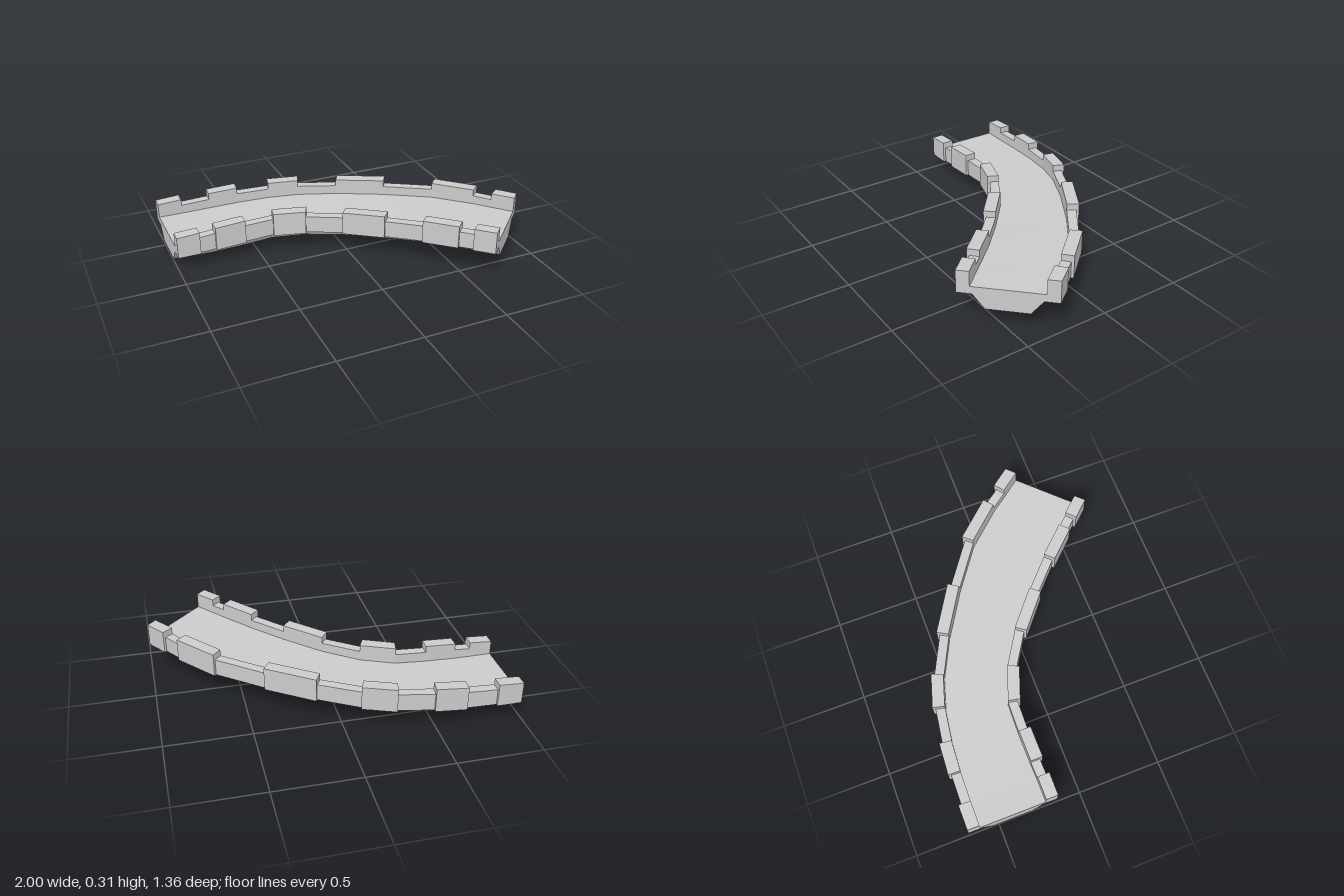
import * as THREE from 'three';

// Road edges (x, z) at matching stations, and heights along the climb
const OUTER = [[-1, -0.61], [-0.855, -0.61], [-0.68, -0.607], [-0.5, -0.595], [-0.3, -0.565], [-0.12, -0.51],
  [0.1, -0.4], [0.36, -0.24], [0.61, -0.06], [0.79, 0.14], [0.86, 0.235], [0.948, 0.349]];
const INNER = [[-1, -0.215], [-0.865, -0.215], [-0.77, -0.218], [-0.585, -0.22], [-0.4, -0.215], [-0.2, -0.145],
  [0, -0.02], [0.2, 0.15], [0.37, 0.31], [0.52, 0.47], [0.58, 0.535], [0.667, 0.63]];
const BOTTOM = [0.012, 0.004, 0, 0.006, 0.022, 0.035, 0.048, 0.062, 0.075, 0.085, 0.09, 0.095];
const SHELF = [0.095, 0.094, 0.096, 0.103, 0.112, 0.122, 0.135, 0.148, 0.16, 0.17, 0.175, 0.18];
const TOP = [0.225, 0.233, 0.24, 0.249, 0.256, 0.265, 0.275, 0.288, 0.3, 0.308, 0.311, 0.315];
const ROAD = 0.045, N = OUTER.length;

const material = new THREE.MeshStandardMaterial({ color: 0xcccccc, flatShading: true });

// Joins convex cross-section loops and caps both ends
function loft(name, sections) {
  const pos = [], n = sections[0].length;
  const tri = (...pts) => pts.forEach((p) => pos.push(...p));
  for (let k = 0; k < sections.length - 1; k++) {
    for (let j = 0; j < n; j++) {
      const a = sections[k][j], b = sections[k][(j + 1) % n];
      const c = sections[k + 1][(j + 1) % n], d = sections[k + 1][j];
      tri(a, b, c);
      tri(a, c, d);
    }
  }
  const first = sections[0], last = sections[sections.length - 1];
  for (let j = 1; j < n - 1; j++) {
    tri(first[0], first[j + 1], first[j]);
    tri(last[0], last[j], last[j + 1]);
  }
  const geometry = new THREE.BufferGeometry();
  geometry.setAttribute('position', new THREE.Float32BufferAttribute(pos, 3));
  geometry.computeVertexNormals();
  const mesh = new THREE.Mesh(geometry, material);
  mesh.name = name;
  return mesh;
}

// Outward direction of a road edge at station i; the ends follow the cut
function outward(edge, other, i) {
  let x, z;
  if (i === 0 || i === N - 1) {
    x = edge[i][0] - other[i][0];
    z = edge[i][1] - other[i][1];
  } else {
    const s = edge === OUTER ? 1 : -1;
    x = s * (edge[i + 1][1] - edge[i - 1][1]);
    z = -s * (edge[i + 1][0] - edge[i - 1][0]);
  }
  const l = Math.hypot(x, z);
  return [x / l, z / l];
}

// Parapet of alternating tall, thick merlons and low, thinner gaps
function parapet(name, edge, other) {
  const group = new THREE.Group();
  group.name = name;
  for (let k = 0; k < N - 1; k++) {
    const merlon = k % 2 === 0;
    const thick = merlon ? 0.072 : 0.056;
    const section = (i) => {
      const [x, z] = edge[i], [nx, nz] = outward(edge, other, i);
      const ox = x + nx * thick, oz = z + nz * thick;
      const top = TOP[i] - (merlon ? 0 : 0.04);
      return edge === OUTER
        ? [[ox, top, oz], [x, top, z], [x, SHELF[i], z], [ox, SHELF[i], oz]]
        : [[x, top, z], [ox, top, oz], [ox, SHELF[i], oz], [x, SHELF[i], z]];
    };
    group.add(loft(merlon ? 'merlon' : 'lowWall', [section(k), section(k + 1)]));
  }
  return group;
}

export function createModel() {
  const model = new THREE.Group();
  model.name = 'curvedBridge';

  // Road deck with a tapered underside
  const deck = OUTER.map((o, i) => {
    const at = (t, y) => [o[0] + (INNER[i][0] - o[0]) * t, y, o[1] + (INNER[i][1] - o[1]) * t];
    const road = SHELF[i] + ROAD;
    return [at(0, road), at(1, road), at(1, SHELF[i]), at(0.97, SHELF[i]),
      at(0.8, BOTTOM[i]), at(0.2, BOTTOM[i]), at(0.03, SHELF[i]), at(0, SHELF[i])];
  });
  model.add(loft('deck', deck));

  model.add(parapet('outerParapet', OUTER, INNER));
  model.add(parapet('innerParapet', INNER, OUTER));
  return model;
}
